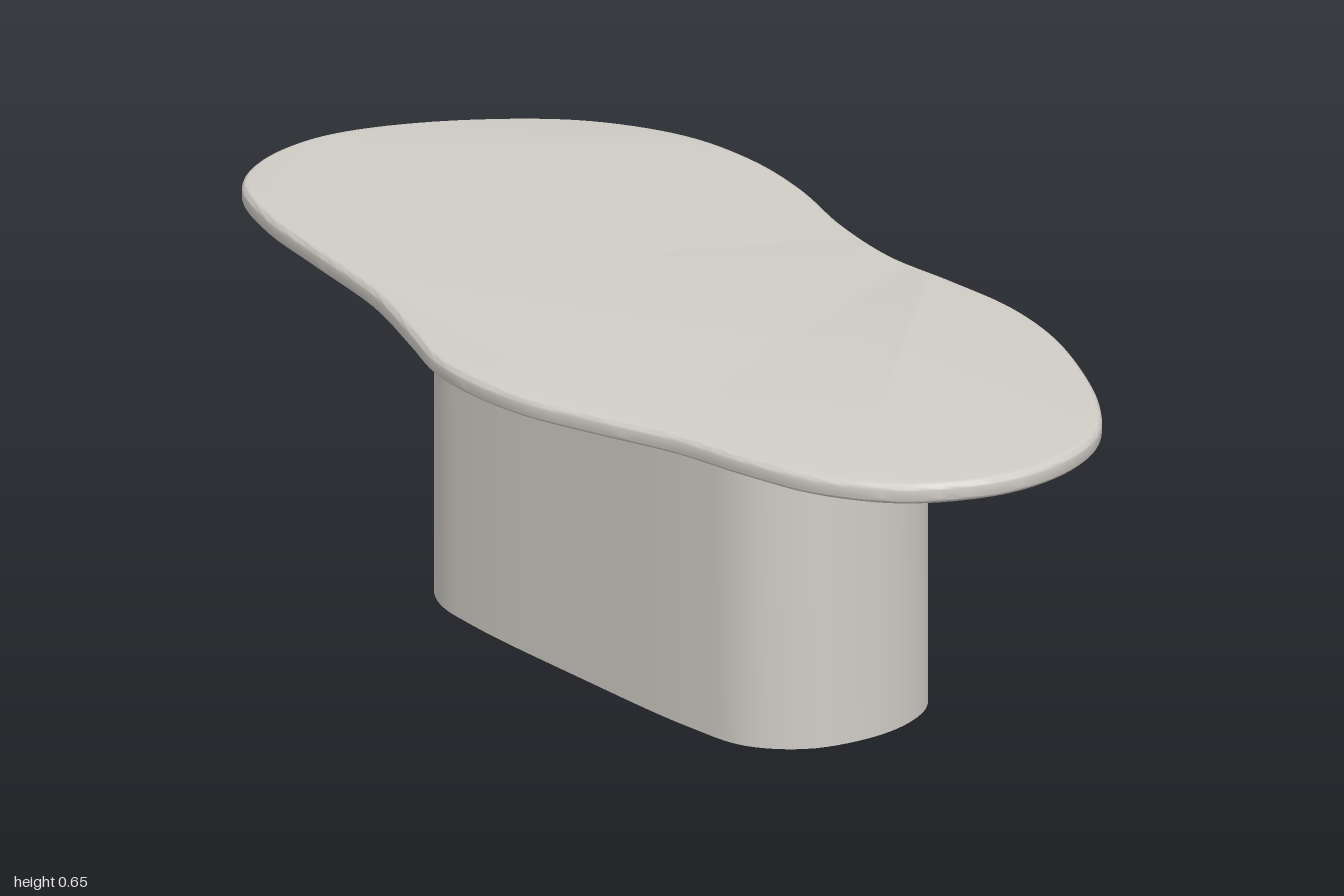
import * as THREE from 'three';
import { toCreasedNormals } from 'three/addons/utils/BufferGeometryUtils.js';

// Outlines as [x, z] points, smoothed into closed curves
const TOP_OUTLINE = [
  [1, 0], [0.98, 0.1], [0.92, 0.21], [0.8, 0.3], [0.66, 0.345], [0.5, 0.38],
  [0.35, 0.435], [0.2, 0.485], [0.06, 0.5], [-0.05, 0.49], [-0.17, 0.45],
  [-0.36, 0.39], [-0.58, 0.355], [-0.76, 0.325], [-0.9, 0.27], [-0.97, 0.18],
  [-1, 0.05], [-0.98, -0.07], [-0.9, -0.24], [-0.78, -0.39], [-0.62, -0.485],
  [-0.46, -0.51], [-0.3, -0.495], [-0.12, -0.45], [0.05, -0.43], [0.2, -0.445],
  [0.35, -0.455], [0.48, -0.44], [0.6, -0.405], [0.8, -0.315], [0.92, -0.225],
  [0.98, -0.12],
];
const BASE_OUTLINE = [
  [0.53, 0], [0.505, 0.1], [0.43, 0.175], [0.3, 0.2], [0, 0.213], [-0.3, 0.215],
  [-0.42, 0.2], [-0.5, 0.15], [-0.54, 0.07], [-0.55, -0.02], [-0.53, -0.12],
  [-0.47, -0.2], [-0.33, -0.242], [0, -0.249], [0.3, -0.247], [0.4, -0.234],
  [0.475, -0.185], [0.52, -0.1],
];

// Extrude a smoothed outline upward from y0 to y1, with optional rounded rims
function slab(outline, y0, y1, round, divisions) {
  const curve = new THREE.CatmullRomCurve3(
    outline.map(([x, z]) => new THREE.Vector3(x, -z, 0)), true, 'centripetal');
  const points = curve.getSpacedPoints(divisions).slice(0, -1);
  const shape = new THREE.Shape(points.map((p) => new THREE.Vector2(p.x, p.y)));
  const geometry = new THREE.ExtrudeGeometry(shape, {
    depth: y1 - y0 - 2 * round,
    bevelEnabled: round > 0,
    bevelThickness: round,
    bevelSize: round,
    bevelOffset: -round,
    bevelSegments: 5,
    curveSegments: 1,
  });
  geometry.rotateX(-Math.PI / 2);
  geometry.translate(0, y0 + round, 0);
  return toCreasedNormals(geometry, 0.7);
}

export function createModel() {
  const stone = new THREE.MeshStandardMaterial({ color: 0xd0ccc6 });
  stone.name = 'warm grey';

  const group = new THREE.Group();
  group.name = 'coffeeTable';

  // Freeform top with softened rim
  const top = new THREE.Mesh(slab(TOP_OUTLINE, 0.613, 0.651, 0.012, 192), stone);
  top.name = 'tableTop';

  // Solid pedestal
  const base = new THREE.Mesh(slab(BASE_OUTLINE, 0, 0.614, 0, 128), stone);
  base.name = 'pedestal';

  group.add(top, base);
  return group;
}
